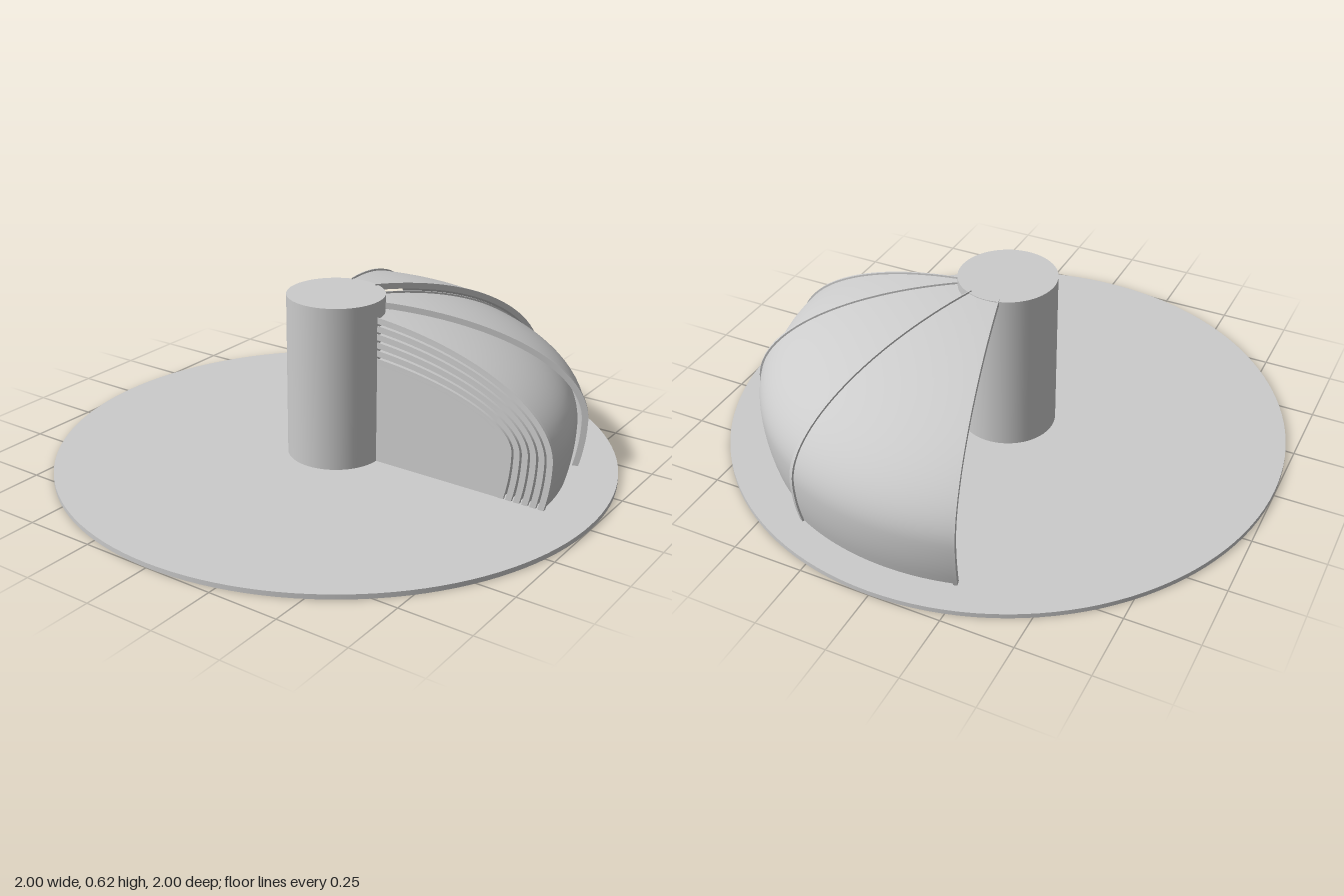
import * as THREE from 'three';
import { mergeGeometries, toCreasedNormals } from 'three/addons/utils/BufferGeometryUtils.js';

const BASE = 0.017;    // top of the floor disc
const MID = 0.19;      // height of the widest point of a shell
const COLUMN = 0.172;  // column radius
const RAD = Math.PI / 180;

// Outline of a shell from floor to column, offset inward by d
function profile(d) {
  const a = 0.908 - d, b = 0.425 - d, pts = [];
  for (let i = 0; i < 6; i++) {
    const t = 1 - i / 6;
    pts.push(new THREE.Vector2(a - 0.023 * t * t, MID - (MID - BASE) * t));
  }
  const end = Math.acos((COLUMN - 0.012) / a);
  for (let i = 0; i <= 28; i++) {
    const t = end * i / 28;
    pts.push(new THREE.Vector2(a * Math.cos(t), MID + b * Math.sin(t)));
  }
  return pts;
}

// Closed band between two outlines, swept from angle t0 to t1 (degrees, +x towards -z)
function sweep(dOuter, dInner, t0, t1, segments) {
  const loop = [...profile(dOuter), ...profile(dInner).reverse()];
  const parts = [new THREE.LatheGeometry([...loop, loop[0].clone()], segments, (t0 + 90) * RAD, (t1 - t0) * RAD)];
  for (const t of [t0, t1]) parts.push(new THREE.ShapeGeometry(new THREE.Shape(loop)).rotateY(t * RAD));
  return toCreasedNormals(mergeGeometries(parts.map(g => g.toNonIndexed())), 0.6);
}

export function createModel() {
  const model = new THREE.Group();
  const solid = new THREE.MeshStandardMaterial({ color: 0xcccccc });
  const thin = new THREE.MeshStandardMaterial({ color: 0xcccccc, side: THREE.DoubleSide });
  const add = (parent, name, geometry, material) => {
    const mesh = new THREE.Mesh(geometry, material);
    mesh.name = name;
    parent.add(mesh);
    return mesh;
  };

  // Floor disc and central column
  add(model, 'floorDisc', new THREE.CylinderGeometry(1, 1, BASE, 128), solid).position.y = BASE / 2;
  add(model, 'column', new THREE.CylinderGeometry(COLUMN, COLUMN, 0.61 - BASE, 64), solid).position.y = (0.61 + BASE) / 2;

  // Eight nested roof shells: two are fanned out, the rest are stacked
  const step = 0.03, thickness = 0.014, span = 40, rib = 0.9;
  for (let k = 0; k < 8; k++) {
    const start = [65.5, 26][k] ?? 0;
    const d = k * step;
    const shell = new THREE.Group();
    shell.name = 'roofShell' + (k + 1);
    add(shell, 'shellPanel', sweep(d, d + thickness, start, start + span, 32), thin);
    // Raised ribs along both edges
    for (const t of [start, start + span - rib])
      add(shell, 'edgeRib', sweep(d - 0.007, d + thickness + 0.001, t, t + rib, 1), thin);
    model.add(shell);
  }

  // Flat wall closing the front of the innermost shell
  const outline = profile(7 * step + thickness / 2);
  outline.push(new THREE.Vector2(COLUMN - 0.012, BASE));
  const wall = new THREE.ExtrudeGeometry(new THREE.Shape(outline), { depth: 0.008, bevelEnabled: false });
  add(model, 'endWall', wall, solid).position.z = -0.01;

  return model;
}
